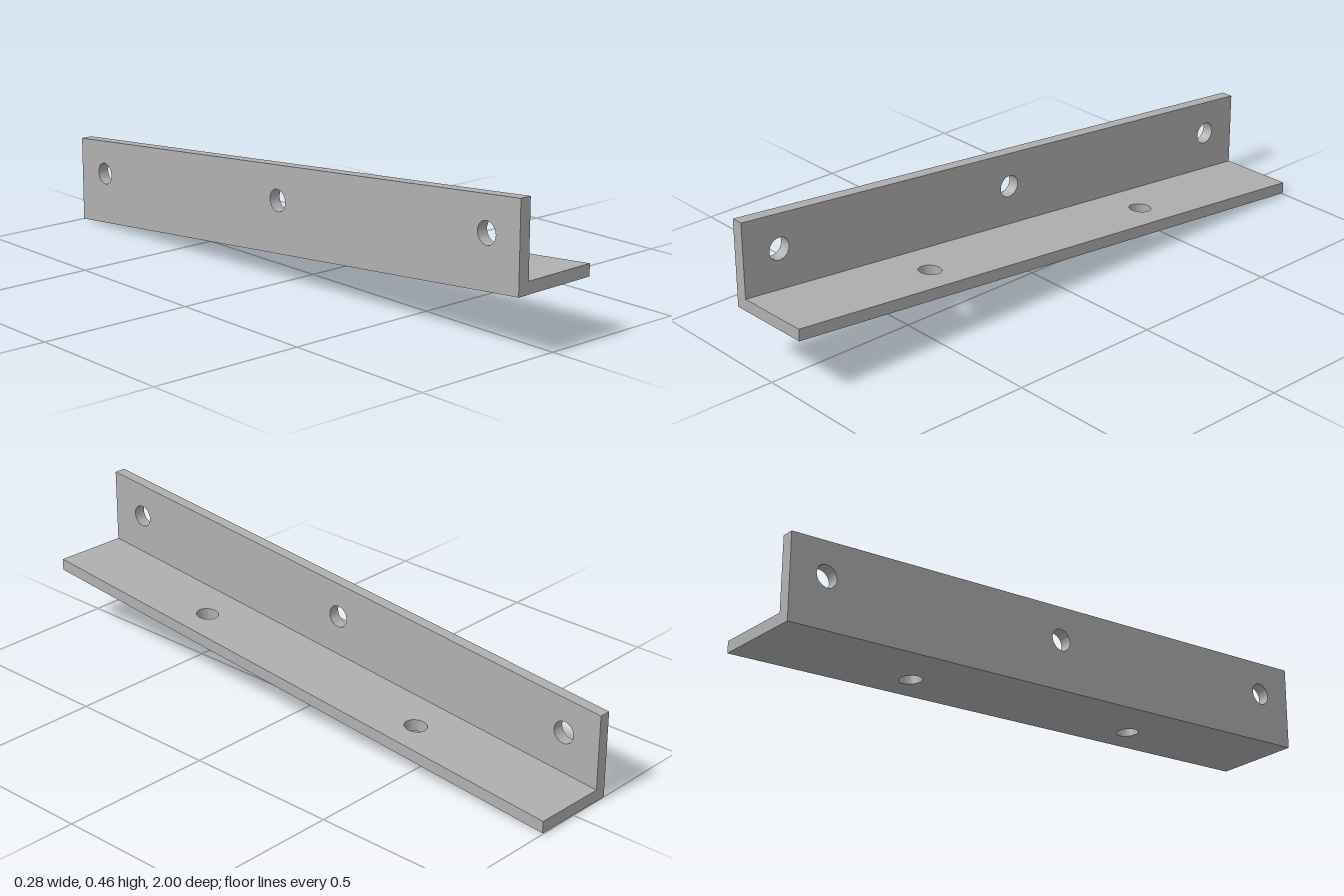
import * as THREE from 'three';
import { toCreasedNormals } from 'three/addons/utils/BufferGeometryUtils.js';

const SLOPE = 0.0932; // rise along z
const X0 = -0.142, X1 = 0.142, T = 0.038; // sides and plate thickness

// Plate outline with round holes, extruded to the plate thickness
function drilledPlate(corners, holes, radius) {
  const shape = new THREE.Shape(corners.map(([u, v]) => new THREE.Vector2(u, v)));
  for (const [u, v] of holes) {
    shape.holes.push(new THREE.Path().absarc(u, v, radius, 0, Math.PI * 2, true));
  }
  return new THREE.ExtrudeGeometry(shape, { depth: T, bevelEnabled: false, curveSegments: 20 });
}

export function createModel() {
  const metal = new THREE.MeshStandardMaterial({ color: 0xb0b0b0 });
  metal.name = 'grey metal';
  const group = new THREE.Group();
  group.name = 'angleBracket';

  const add = (name, geometry) => {
    const mesh = new THREE.Mesh(toCreasedNormals(geometry, 0.6), metal);
    mesh.name = name;
    group.add(mesh);
  };

  // Upright flange: sloping edges, plumb ends, three holes
  const wall = drilledPlate(
    [[-1, 0], [1, 2 * SLOPE], [1, 0.277 + 2 * SLOPE], [-1, 0.277]],
    [-0.875, 0, 0.875].map((z) => [z, 0.26 + SLOPE * z]), 0.035);
  wall.rotateY(-Math.PI / 2).translate(X0 + T, 0, 0);
  add('uprightFlange', wall);

  // Flat flange: two holes, tilted along its length and slightly across
  const base = drilledPlate(
    [[X0 + T, -1], [X1, -1], [X1, 1], [X0 + T, 1]],
    [[0.032, -0.437], [0.032, 0.437]], 0.035);
  base.rotateX(Math.PI / 2).translate(0, T, 0);
  const p = base.attributes.position;
  for (let i = 0; i < p.count; i++) {
    p.setY(i, p.getY(i) + SLOPE * (p.getZ(i) + 1) + 0.0125 * (p.getX(i) - X0));
  }
  add('flatFlange', base);

  return group;
}
